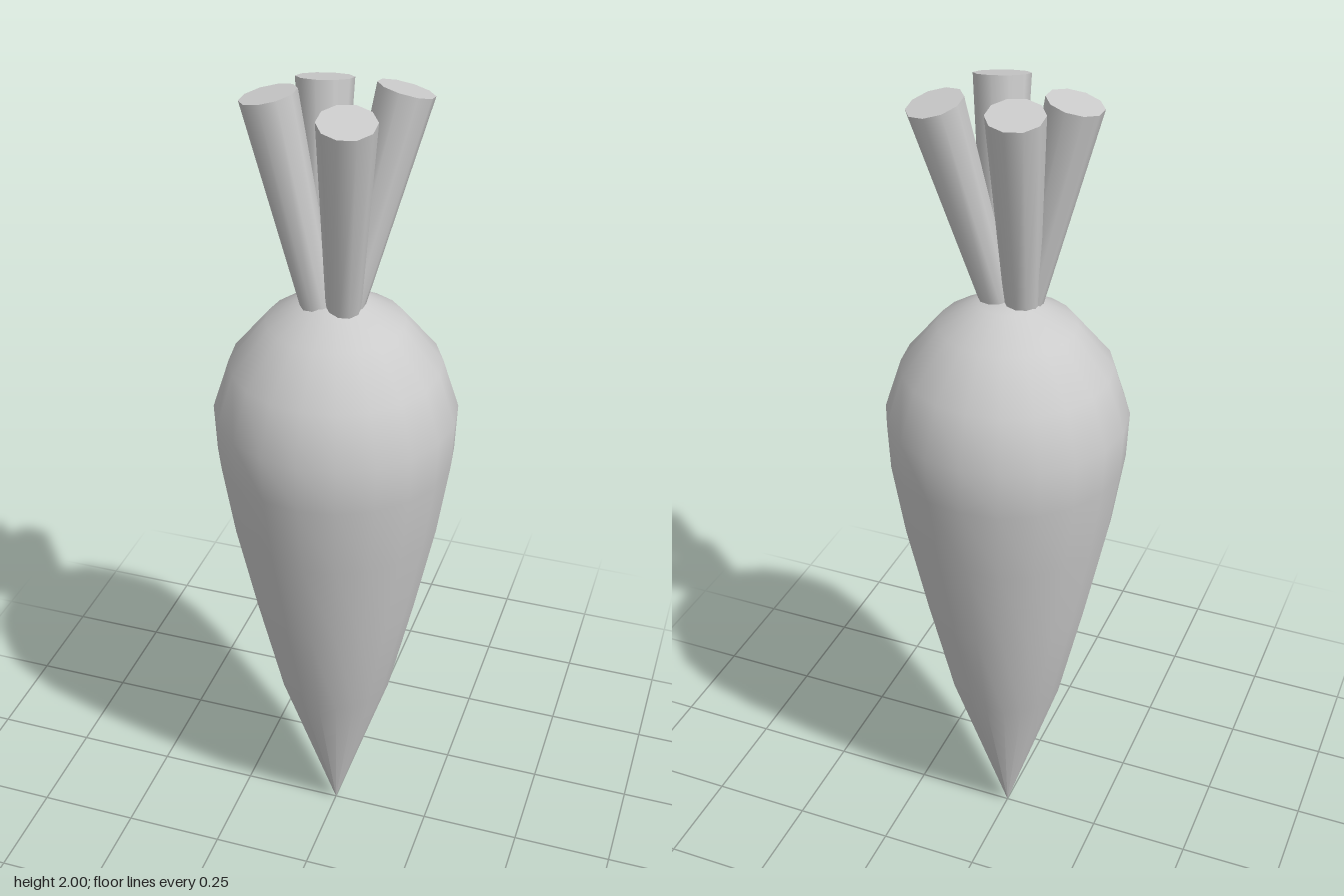
import * as THREE from 'three';

const material = new THREE.MeshStandardMaterial({ color: 0xcccccc });

// Tapered stalk running from a base point to a tip point
function makeStalk(base, tip) {
  const a = new THREE.Vector3(...base);
  const b = new THREE.Vector3(...tip);
  const axis = b.clone().sub(a);
  const stalk = new THREE.Mesh(new THREE.CylinderGeometry(0.063, 0.038, axis.length(), 10), material);
  stalk.quaternion.setFromUnitVectors(new THREE.Vector3(0, 1, 0), axis.normalize());
  stalk.position.copy(a).add(b).multiplyScalar(0.5);
  return stalk;
}

export function createModel() {
  const model = new THREE.Group();
  model.name = 'carrot';

  // Root: smooth lathe, pointed below and domed above
  const profile = [
    [0, 0], [0.14, 0.44], [0.2, 0.71], [0.248, 0.945], [0.276, 1.13],
    [0.281, 1.245], [0.242, 1.365], [0.157, 1.468], [0.065, 1.52], [0, 1.524],
  ].map(([r, y]) => new THREE.Vector2(r, y));
  const root = new THREE.Mesh(new THREE.LatheGeometry(profile, 20), material);
  root.name = 'root';
  model.add(root);

  // Four cut leaf stalks fanning out from the crown
  const stalks = new THREE.Group();
  stalks.name = 'leafStalks';
  [
    ['frontStalk', [0.027, 1.5, 0.03], [0.068, 1.982, 0.14]],
    ['leftStalk', [0.027, 1.5, 0.015], [0.128, 1.982, -0.078]],
    ['backStalk', [-0.03, 1.5, 0.012], [-0.053, 1.985, -0.09]],
    ['rightStalk', [-0.03, 1.5, 0.028], [-0.135, 1.98, 0.035]],
  ].forEach(([name, base, tip]) => {
    const stalk = makeStalk(base, tip);
    stalk.name = name;
    stalks.add(stalk);
  });
  model.add(stalks);

  return model;
}
